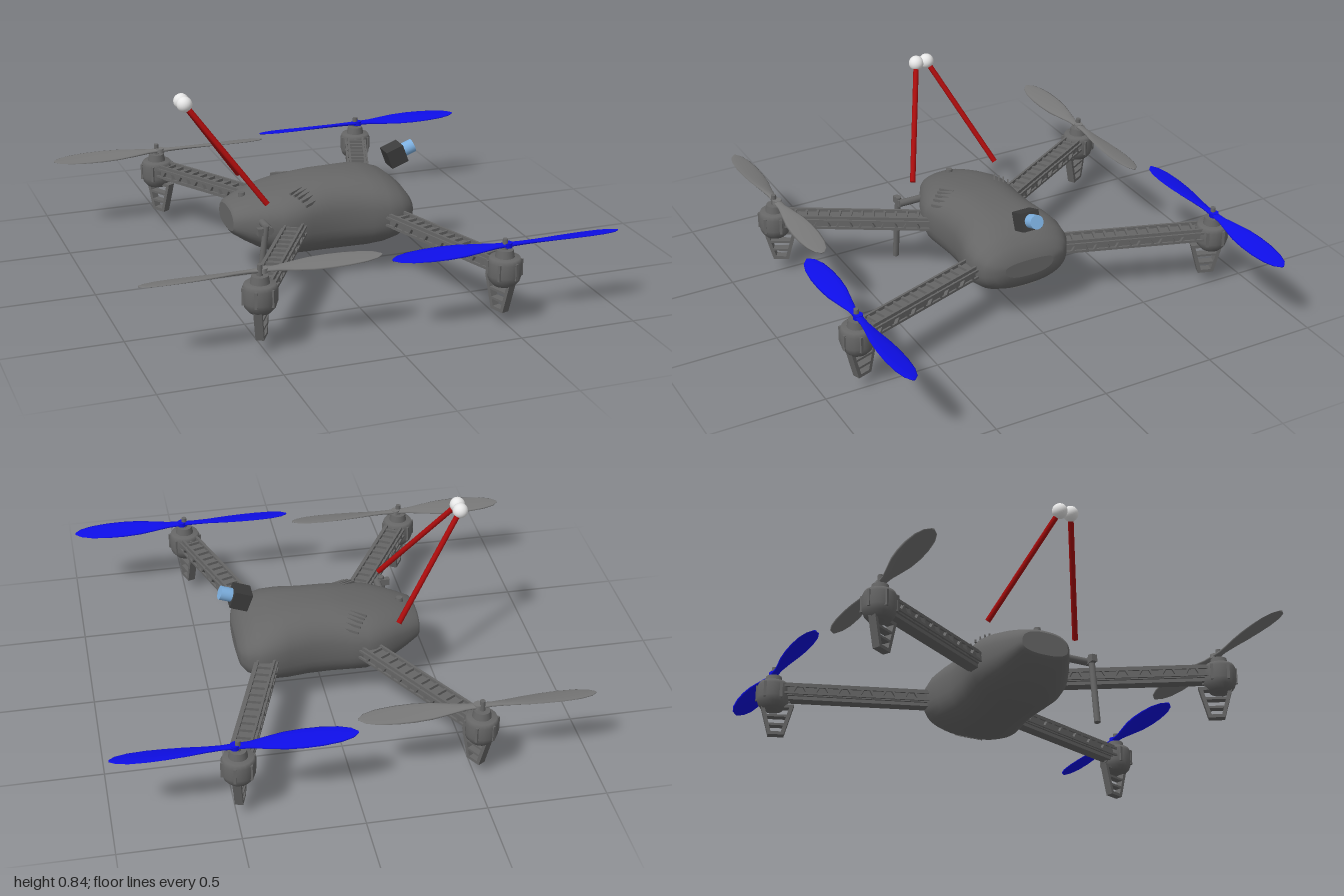
import * as THREE from 'three';

const mat = (name, color, opts = {}) => {
  const m = new THREE.MeshStandardMaterial({ color, ...opts });
  m.name = name;
  return m;
};

// Closed skin through rings along x; ring(i, angle) gives [x, y, z]
function loft(count, sides, ring) {
  const pos = [], idx = [];
  for (let i = 0; i < count; i++)
    for (let j = 0; j < sides; j++) pos.push(...ring(i, (j / sides) * Math.PI * 2));
  for (let i = 0; i < count - 1; i++)
    for (let j = 0; j < sides; j++) {
      const k = (j + 1) % sides, a = i * sides, b = a + sides;
      idx.push(a + j, a + k, b + j, a + k, b + k, b + j);
    }
  // flat end caps with their own vertices
  for (const [i, flip] of [[0, true], [count - 1, false]]) {
    const base = pos.length / 3;
    const c = [0, 0, 0];
    for (let j = 0; j < sides; j++) {
      const p = ring(i, (j / sides) * Math.PI * 2);
      pos.push(...p);
      p.forEach((v, n) => { c[n] += v / sides; });
    }
    pos.push(...c);
    for (let j = 0; j < sides; j++) {
      const k = (j + 1) % sides;
      idx.push(base + sides, base + (flip ? k : j), base + (flip ? j : k));
    }
  }
  const g = new THREE.BufferGeometry();
  g.setAttribute('position', new THREE.Float32BufferAttribute(pos, 3));
  g.setIndex(idx);
  g.computeVertexNormals();
  return g;
}

// Fuselage stations: x, half width, bottom, top
const MID = 0.275, POWER = 2.5;
const HULL = [
  [-0.42, 0.105, 0.235, 0.335], [-0.41, 0.118, 0.22, 0.348], [-0.36, 0.145, 0.185, 0.368],
  [-0.3, 0.175, 0.15, 0.388], [-0.23, 0.207, 0.122, 0.404], [-0.17, 0.217, 0.11, 0.415],
  [-0.1, 0.207, 0.106, 0.428], [-0.02, 0.198, 0.104, 0.438], [0.08, 0.199, 0.103, 0.44],
  [0.17, 0.218, 0.106, 0.438], [0.24, 0.232, 0.117, 0.424], [0.3, 0.226, 0.135, 0.402],
  [0.345, 0.2, 0.16, 0.366], [0.37, 0.168, 0.188, 0.332], [0.38, 0.115, 0.225, 0.3],
];
const sgnPow = (v) => Math.sign(v) * Math.pow(Math.abs(v), 2 / POWER);

function hullTop(x, z) {
  let i = 0;
  while (i < HULL.length - 2 && HULL[i + 1][0] < x) i++;
  const t = (x - HULL[i][0]) / (HULL[i + 1][0] - HULL[i][0]);
  const at = (n) => THREE.MathUtils.lerp(HULL[i][n], HULL[i + 1][n], t);
  return MID + (at(3) - MID) * Math.pow(1 - Math.pow(Math.abs(z) / at(1), POWER), 1 / POWER);
}

// Two-bladed propeller: distance fraction, chord
const CHORD = [[0, 0.034], [0.12, 0.036], [0.25, 0.06], [0.4, 0.088], [0.55, 0.1], [0.7, 0.1], [0.85, 0.085], [0.95, 0.055], [1, 0.012]];
function propellerGeometry(spin) {
  const rows = [...CHORD.slice(1).reverse().map(([t, c]) => [-t, c]), ...CHORD];
  return loft(rows.length, 12, (i, a) => {
    const [t, chord] = rows[i];
    const pitch = spin * 0.33 * Math.sin(Math.min(1, Math.abs(t) * 4) * Math.PI / 2) * Math.sign(t) * (1 - 0.6 * Math.abs(t));
    const y = Math.cos(a) * (0.009 - 0.006 * Math.abs(t)), z = Math.sin(a) * chord / 2;
    return [t * 0.494, y * Math.cos(pitch) - z * Math.sin(pitch), y * Math.sin(pitch) + z * Math.cos(pitch)];
  });
}

// Tapered landing leg with cut-outs
function legGeometry() {
  const half = (y) => THREE.MathUtils.lerp(0.034, 0.072, (y - 0.06) / 0.14);
  const quad = (path, y0, y1, inset) => {
    path.moveTo(-half(y0) + inset, y0);
    path.lineTo(half(y0) - inset, y0);
    path.lineTo(half(y1) - inset, y1);
    path.lineTo(-half(y1) + inset, y1);
    path.closePath();
    return path;
  };
  const s = quad(new THREE.Shape(), 0.06, 0.2, 0);
  for (const [a, b] of [[0.074, 0.102], [0.112, 0.142], [0.152, 0.186]]) s.holes.push(quad(new THREE.Path(), a, b, 0.016));
  return new THREE.ExtrudeGeometry(s, { depth: 0.034, bevelEnabled: false }).translate(0, 0, -0.017);
}

export function createModel() {
  const root = new THREE.Group();
  root.name = 'quadcopter';
  const grey = mat('body grey', 0x666666);
  const bladeGrey = mat('blade grey', 0x777777);
  const blue = mat('blade blue', 0x1010fa);
  const red = mat('rod red', 0xa80c0c);
  const white = mat('ball white', 0xf0f0f0);
  const black = mat('camera black', 0x3c3c3c);
  const lensBlue = mat('lens blue', 0x7db0e0);

  const add = (parent, name, geo, m, x = 0, y = 0, z = 0) => {
    const mesh = new THREE.Mesh(geo, m);
    mesh.name = name;
    mesh.position.set(x, y, z);
    parent.add(mesh);
    return mesh;
  };
  const box = (w, h, d) => new THREE.BoxGeometry(w, h, d);
  const cyl = (a, b, h, n = 20) => new THREE.CylinderGeometry(a, b, h, n);
  const rod = (name, a, b, r, m) => {
    const p = new THREE.Vector3(...a), q = new THREE.Vector3(...b);
    const mesh = add(root, name, cyl(r, r, p.distanceTo(q), 12), m);
    mesh.position.copy(p).lerp(q, 0.5);
    mesh.quaternion.setFromUnitVectors(new THREE.Vector3(0, 1, 0), q.sub(p).normalize());
  };

  // Fuselage
  add(root, 'fuselage', loft(HULL.length, 40, (i, a) => {
    const [x, w, lo, hi] = HULL[i], c = sgnPow(Math.cos(a));
    return [x, MID + c * (c > 0 ? hi - MID : MID - lo), w * sgnPow(Math.sin(a))];
  }), grey);
  add(root, 'rearButton', cyl(0.014, 0.017, 0.02, 12), grey, -0.35, 0.376, 0);
  for (const side of [-1, 1])
    for (let i = 0; i < 5; i++) {
      const x = -0.145 + i * 0.012, z = 0.118 + i * 0.016;
      const slat = add(root, 'ventSlat', box(0.075, 0.012, 0.007), grey, x, hullTop(x, z), side * z);
      slat.rotation.set(0, side * 0.5, 0.12);
    }
  for (let i = -3; i <= 3; i++)
    add(root, 'noseGrilleSlat', box(0.07, 0.014, 0.007), grey, 0.31, 0.146, i * 0.016).rotation.z = 0.45;

  // Arms with motors and legs; local x runs inward from the motor
  const leg = legGeometry();
  const arms = [
    { name: 'rear', m: [-0.52, 0.775], r: [-0.16, 0.165], px: -0.505, pz: 0.767, paint: bladeGrey },
    { name: 'front', m: [0.487, 0.847], r: [0.262, 0.19], px: 0.498, pz: 0.845, paint: blue },
  ];
  for (const { name, m, r, px, pz, paint } of arms)
    for (const side of [-1, 1]) {
      const arm = new THREE.Group();
      arm.name = name + (side > 0 ? 'ArmNear' : 'ArmFar');
      arm.position.set(m[0], 0, side * m[1]);
      const dx = r[0] - m[0], dz = side * (r[1] - m[1]), len = Math.hypot(dx, dz);
      arm.rotation.y = Math.atan2(-dz, dx);
      root.add(arm);

      add(arm, 'armBeam', box(len, 0.04, 0.068), grey, len / 2, 0.257, 0);
      add(arm, 'armKeel', box(len, 0.02, 0.05), grey, len / 2, 0.232, 0);
      for (const e of [-1, 1]) {
        add(arm, 'armRail', box(len - 0.04, 0.014, 0.01), grey, len / 2, 0.286, e * 0.034);
        add(arm, 'armLowerRail', box(len - 0.04, 0.01, 0.008), grey, len / 2, 0.243, e * 0.046);
        add(arm, 'armEdgeRail', box(len - 0.04, 0.01, 0.008), grey, len / 2, 0.276, e * 0.046);
      }
      const ribs = 12;
      for (let i = 0; i < ribs; i++) {
        const x = 0.09 + i * (len - 0.12) / ribs;
        add(arm, 'armRib', box(0.01, 0.012, 0.066), grey, x, 0.283, 0);
        for (const e of [-1, 1])
          add(arm, 'armStrut', box(0.009, 0.042, 0.018), grey, x, 0.26, e * 0.041).rotation.z = i % 2 ? 0.5 : -0.5;
      }

      add(arm, 'motorPod', new THREE.LatheGeometry(
        [[0, 0.18], [0.045, 0.18], [0.062, 0.2], [0.07, 0.225], [0.07, 0.28], [0.062, 0.298], [0, 0.302]].map(([a, b]) => new THREE.Vector2(a, b)), 20), grey);
      for (let i = 0; i < 6; i++) {
        const a = i * Math.PI / 3;
        add(arm, 'podRib', box(0.012, 0.07, 0.012), grey, 0.068 * Math.cos(a), 0.25, 0.068 * Math.sin(a));
      }
      add(arm, 'motor', cyl(0.034, 0.04, 0.032), grey, 0, 0.314, 0);
      add(arm, 'motorShaft', cyl(0.011, 0.013, 0.055, 12), grey, 0, 0.348, 0);
      add(arm, 'landingLeg', leg, grey, 0.02, 0, 0);

      const prop = add(root, name + 'Propeller', propellerGeometry(side * (name === 'rear' ? 1 : -1)), paint, px, 0.347, side * pz);
      add(prop, 'propellerHub', cyl(0.02, 0.02, 0.02, 16), paint);
    }

  // Marker rods and balls
  for (const side of [-1, 1]) {
    const tip = [-0.6, 0.81, side * 0.025 + 0.005];
    rod('markerRod', [-0.302, 0.395, side * 0.205], tip, 0.012, red);
    add(root, 'markerBall', new THREE.SphereGeometry(0.033, 24, 16), white, ...tip);
  }

  // Antenna on its bracket
  rod('antenna', [-0.327, 0.325, 0.266], [-0.368, 0.006, 0.266], 0.0135, grey);
  rod('antennaBracket', [-0.31, 0.3, 0.13], [-0.31, 0.3, 0.27], 0.016, grey);
  add(root, 'antennaHinge', box(0.06, 0.03, 0.024), grey, -0.335, 0.3, 0.262);

  // Tilted camera
  const cam = new THREE.Group();
  cam.name = 'camera';
  cam.position.set(0.348, 0.475, 0);
  cam.rotation.z = 0.36;
  root.add(cam);
  add(cam, 'cameraBox', box(0.08, 0.08, 0.084), black);
  add(cam, 'cameraLens', cyl(0.03, 0.03, 0.052, 24), lensBlue, 0.066, 0, 0).rotation.z = Math.PI / 2;

  return root;
}
